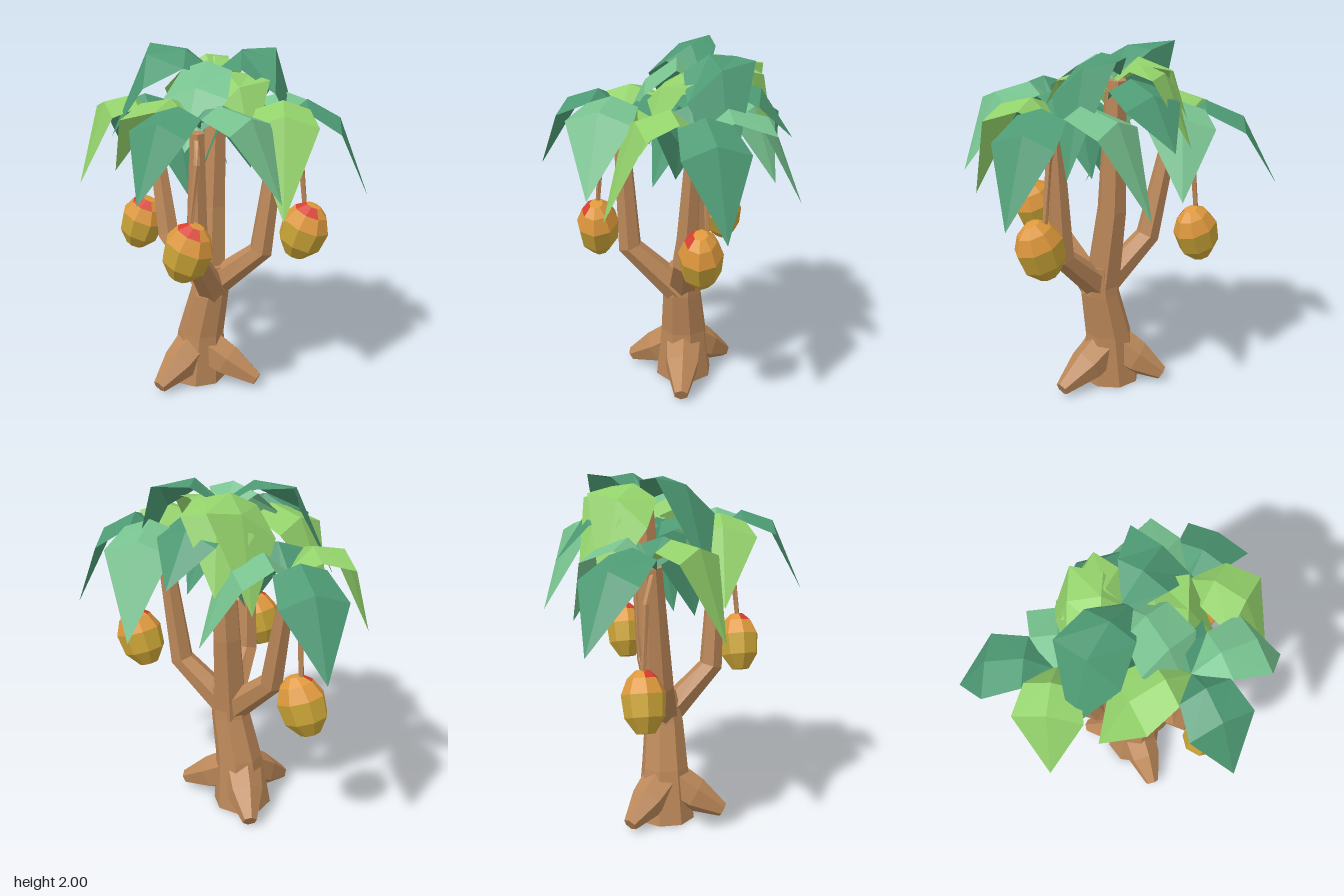
import * as THREE from 'three';

const flat = (name, color) => {
  const m = new THREE.MeshStandardMaterial({ color, flatShading: true, side: THREE.DoubleSide });
  m.name = name;
  return m;
};
const V = (p) => new THREE.Vector3(...p);

function meshFrom(points, index, material, name) {
  const g = new THREE.BufferGeometry();
  g.setAttribute('position', new THREE.Float32BufferAttribute(points.flatMap((p) => [p.x, p.y, p.z]), 3));
  g.setIndex(index);
  const flatGeo = g.toNonIndexed();
  flatGeo.computeVertexNormals();
  const mesh = new THREE.Mesh(flatGeo, material);
  mesh.name = name;
  return mesh;
}

// Faceted limb: rings along a bent path, capped at both ends
function limb(name, path, radii, sides, material, level = false) {
  const pts = path.map(V), up = new THREE.Vector3(0, 1, 0), verts = [], index = [];
  pts.forEach((p, i) => {
    const t = pts[Math.min(i + 1, pts.length - 1)].clone().sub(pts[Math.max(i - 1, 0)]).normalize();
    const q = new THREE.Quaternion();
    if (!level) q.setFromUnitVectors(up, t);
    for (let j = 0; j < sides; j++) {
      const a = ((j + 0.5) / sides) * Math.PI * 2;
      verts.push(new THREE.Vector3(Math.sin(a) * radii[i], 0, Math.cos(a) * radii[i]).applyQuaternion(q).add(p));
    }
  });
  const last = (pts.length - 1) * sides, c0 = verts.length, c1 = c0 + 1;
  verts.push(pts[0], pts[pts.length - 1]);
  for (let j = 0; j < sides; j++) {
    const k = (j + 1) % sides;
    for (let r = 0; r < last; r += sides) {
      index.push(r + j, r + k, r + sides + j, r + k, r + sides + k, r + sides + j);
    }
    index.push(c0, k, j, c1, last + j, last + k);
  }
  return meshFrom(verts, index, material, name);
}

// Drooping leaf folded along its midrib: rises to a crest, sinks by drop, then falls to a point.
// Lean rolls the blade so that its front edge hangs lower.
function leaf(base, crest, drop, tip, lean, material) {
  const start = new THREE.Vector3(base[0], 0, base[1]), end = new THREE.Vector3(tip[0], 0, tip[2]);
  const dir = end.clone().sub(start).normalize();
  const side = new THREE.Vector3(dir.z, 0, -dir.x);
  const rows = [[0, crest - 0.12, 0.04, 0.02], [0.28, crest, 0.145, 0.05], [0.65, crest - drop, 0.185, 0.06]];
  const verts = [], index = [];
  for (const [t, y, half, fold] of rows) {
    for (const s of [-1, 0, 1]) {
      const p = start.clone().lerp(end, t).addScaledVector(side, s * half);
      p.y = y - Math.abs(s) * fold - lean * t * side.z * s * half;
      verts.push(p);
    }
  }
  verts.push(V(tip));
  for (const r of [0, 3]) {
    for (const c of [0, 1]) {
      const a = r + c;
      index.push(a, a + 3, a + 1, a + 1, a + 3, a + 4);
    }
  }
  index.push(6, 9, 7, 7, 9, 8);
  return meshFrom(verts, index, material, 'leaf');
}

// Hanging fruit in faceted bands with a red blush on the front of its cap
function fruit(center, mats) {
  const g = new THREE.Group();
  g.name = 'fruit';
  const band = (name, rTop, yTop, rBot, yBot, mat, from = 0, segs = 8) => {
    const geo = new THREE.CylinderGeometry(rTop, rBot, yTop - yBot, segs, 1, true, from, (segs * Math.PI) / 4);
    geo.translate(0, (yTop + yBot) / 2, 0);
    const m = new THREE.Mesh(geo, mat);
    m.name = name;
    g.add(m);
  };
  const q = Math.PI / 4;
  band('fruitBlush', 0.045, 0.165, 0.1, 0.122, mats.red, -2 * q, 3);
  band('fruitCap', 0.045, 0.165, 0.1, 0.122, mats.orange, q, 5);
  band('fruitCapCentre', 0, 0.167, 0.045, 0.165, mats.orange);
  band('fruitShoulder', 0.1, 0.122, 0.142, 0.04, mats.orange);
  band('fruitBelly', 0.142, 0.04, 0.128, -0.08, mats.gold);
  band('fruitLower', 0.128, -0.08, 0.06, -0.165, mats.gold);
  band('fruitBottom', 0.06, -0.165, 0, -0.167, mats.gold);
  g.scale.z = 0.84;
  g.rotation.z = -0.34;
  g.position.set(...center);
  return g;
}

export function createModel() {
  const tree = new THREE.Group();
  tree.name = 'fruitTree';
  const bark = flat('bark brown', 0xbc8859);
  const lime = flat('lime leaf', 0x93d26b);
  const light = flat('light green leaf', 0x77c28f);
  const mid = flat('deep green leaf', 0x4d9a74);
  const mats = { red: flat('red', 0xd63e2e), orange: flat('orange', 0xde983c), gold: flat('gold', 0xcda638) };

  // Trunk and spreading roots
  tree.add(limb('trunk', [[-0.07, 0.01, -0.08], [-0.045, 0.32, -0.08], [0.012, 0.58, -0.075], [0.03, 0.76, -0.09]],
    [0.17, 0.137, 0.114, 0.09], 8, bark, true));
  for (const [x, z] of [[0.32, -0.1], [-0.16, 0.245], [-0.265, -0.32]]) {
    tree.add(limb('root', [[-0.06, 0.25, -0.08], [x * 0.5 - 0.03, 0.145, z * 0.5 - 0.04], [x, 0.055, z]],
      [0.12, 0.105, 0.042], 6, bark));
  }

  // Main stem and three bent branches
  tree.add(limb('mainStem', [[0.01, 0.56, -0.08], [-0.01, 1.1, -0.15], [0, 1.84, -0.19]], [0.105, 0.085, 0.06], 6, bark));
  const branches = [
    [[0, 0.62, -0.08], [-0.295, 0.88, -0.14], [-0.43, 1.56, -0.2]],
    [[0.02, 0.62, -0.08], [0.32, 0.88, -0.12], [0.4, 1.63, -0.17]],
    [[0.04, 0.6, -0.06], [0.08, 0.88, 0.22], [0.1, 1.63, 0.26]],
  ];
  for (const path of branches) tree.add(limb('branch', path, [0.088, 0.07, 0.043], 6, bark));

  // Fruits on thin stems
  const hanging = [
    [[-0.43, 1.54, -0.2], [-0.525, 1.38, -0.26], [-0.55, 1.02, -0.28], [-0.56, 0.875, -0.28]],
    [[0.4, 1.6, -0.18], [0.495, 1.48, -0.24], [0.53, 1.15, -0.25], [0.54, 1.005, -0.22]],
    [[0.1, 1.62, 0.26], [0.15, 1.48, 0.36], [0.13, 1.15, 0.39], [0.11, 1.005, 0.395]],
  ];
  for (const [a, b, c, center] of hanging) {
    tree.add(limb('fruitStem', [a, b, c], [0.02, 0.018, 0.014], 5, bark), fruit(center, mats));
  }

  // Leaf clusters: base x/z and lean, then tip, colour, crest height and drop of each leaf
  const clusters = [
    ['rightLeaves', [-0.43, -0.22], 0, [
      [[-0.86, 1.2, -0.61], mid, 1.68, 0.09], [[-0.75, 1.2, 0.11], lime, 1.71, 0.03],
      [[-0.12, 1.22, -0.6], light, 1.7, 0.06], [[-0.02, 1.2, 0.1], mid, 1.7, 0.06]]],
    ['leftLeaves', [0.4, -0.18], 0, [
      [[0.86, 1.21, -0.37], mid, 1.76, 0.1], [[0.61, 1.21, 0.28], lime, 1.78, 0.05],
      [[0.23, 1.22, -0.74], light, 1.77, 0.06], [[-0.06, 1.24, -0.03], mid, 1.76, 0.06]]],
    ['frontLeaves', [0.08, 0.25], 0, [
      [[0, 1.34, 0.73], mid, 1.79, 0.06], [[-0.465, 1.33, 0.17], lime, 1.79, 0.05],
      [[0.63, 1.33, 0.36], light, 1.79, 0.04], [[0.2, 1.33, -0.23], mid, 1.78, 0.06]]],
    ['crownLeaves', [0, -0.17], 0.9, [
      [[-0.55, 1.5, 0.06], mid, 2, 0.03], [[0.48, 1.4, -0.37], mid, 2, 0.05],
      [[0.02, 1.53, -0.68], mid, 1.86, 0.06], [[-0.2, 1.5, -0.57], lime, 1.95, 0.06],
      [[-0.36, 1.4, -0.47], lime, 1.96, 0.07], [[0.36, 1.5, 0.12], lime, 1.9, 0.06],
      [[0.04, 1.52, 0.29], light, 1.96, 0.12]]],
  ];
  for (const [name, base, lean, leaves] of clusters) {
    const group = new THREE.Group();
    group.name = name;
    for (const [tip, mat, crest, drop] of leaves) group.add(leaf(base, crest, drop, tip, lean, mat));
    tree.add(group);
  }
  return tree;
}
